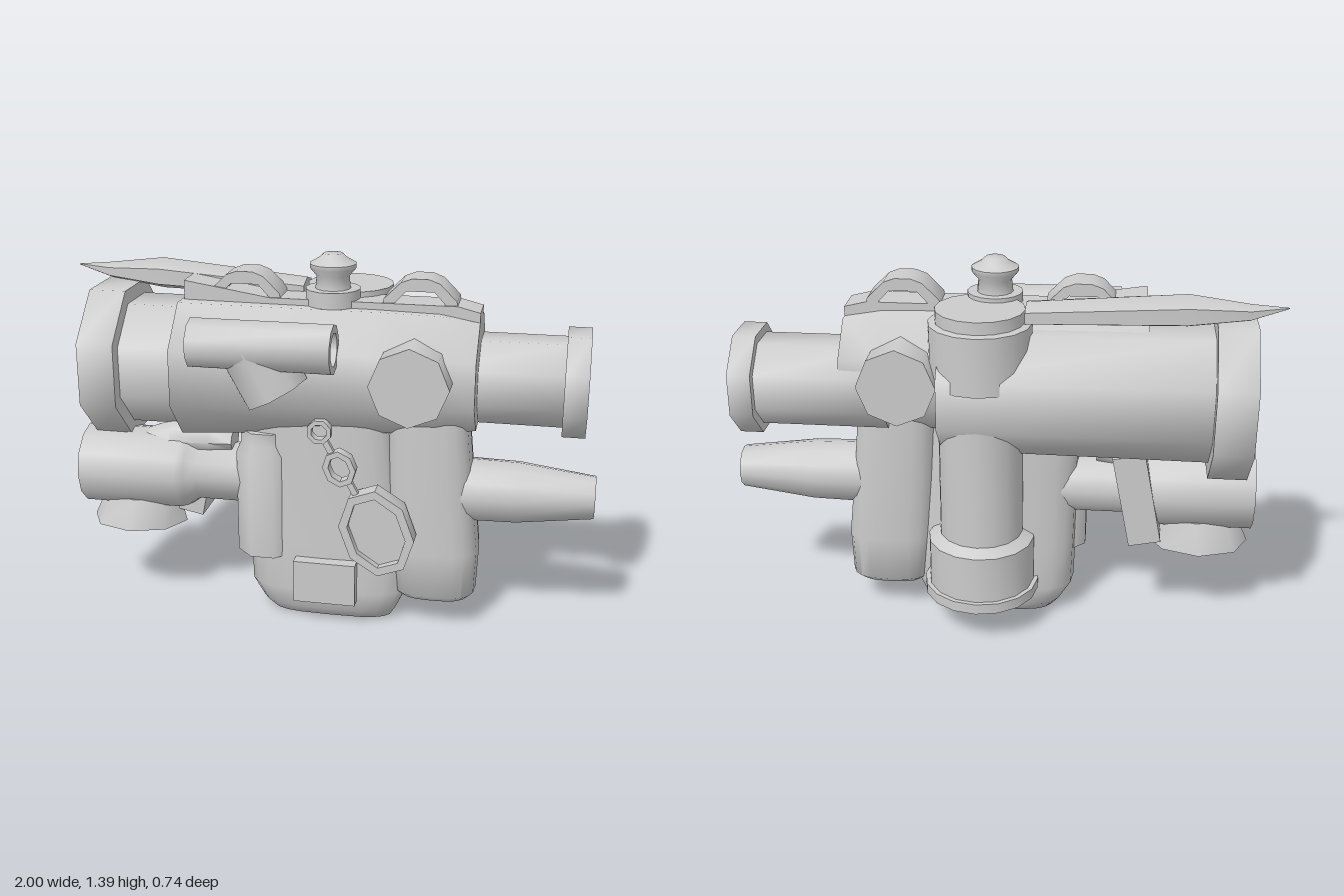
import * as THREE from 'three';
import { toCreasedNormals } from 'three/addons/utils/BufferGeometryUtils.js';

const K = 1 / Math.cos(Math.PI / 8); // octagon corner radius per unit of half width

export function createModel() {
  const model = new THREE.Group();
  const mat = new THREE.MeshStandardMaterial({ color: 0xcccccc, side: THREE.DoubleSide });

  function add(name, geo, pos = [0, 0, 0]) {
    const m = new THREE.Mesh(toCreasedNormals(geo, 0.9), mat);
    m.name = name;
    m.position.set(...pos);
    model.add(m);
    return m;
  }

  // Turned part: profile of [radius, distance along axis]
  function turned(name, profile, axis, pos, sides = 16, phase = 0) {
    const g = new THREE.LatheGeometry(profile.map(p => new THREE.Vector2(...p)), sides, phase);
    if (axis === 'x') g.rotateZ(-Math.PI / 2);
    if (axis === 'z') g.rotateX(Math.PI / 2);
    return add(name, g, pos);
  }
  // Octagonal turned part along x with flats on top; radii are half widths
  const octTube = (name, profile, y, z) =>
    turned(name, profile.map(([r, t]) => [r * K, t]), 'x', [0, y, z], 8, Math.PI / 8);

  // Skin over sections [t, centreA, centreB, radiusA, radiusB]; along y: A=x, B=z; along x: A=y, B=z
  function loft(name, axis, sections, n, power = 1, phase = 0, scale = 1) {
    const first = sections[0], last = sections[sections.length - 1];
    const rows = [[...first.slice(0, 3), 0, 0], ...sections, [...last.slice(0, 3), 0, 0]];
    const pos = [], idx = [];
    const soft = v => Math.sign(v) * Math.abs(v) ** power * scale;
    rows.forEach(([t, ca, cb, ra, rb], i) => {
      for (let j = 0; j < n; j++) {
        const a = phase + j / n * Math.PI * 2;
        const u = ca + ra * soft(Math.cos(a)), v = rb * soft(Math.sin(a));
        if (axis === 'y') pos.push(u, t, cb + v);
        else pos.push(t, u, cb - v);
        if (i === rows.length - 1) continue;
        const k = (j + 1) % n, p = i * n, q = p + n;
        idx.push(p + j, q + j, p + k, p + k, q + j, q + k);
      }
    });
    const g = new THREE.BufferGeometry();
    g.setAttribute('position', new THREE.Float32BufferAttribute(pos, 3));
    g.setIndex(idx);
    return add(name, g);
  }

  // Plate with an outline in x and y, centred on z = centre
  function slab(name, pts, centre, depth) {
    const shape = new THREE.Shape(pts.map(p => new THREE.Vector2(...p)));
    add(name, new THREE.ExtrudeGeometry(shape, { depth, bevelEnabled: false }), [0, 0, centre - depth / 2]);
  }

  // Flat elongated ring with eight corners
  function ring(name, x, y, z, rx, ry, width, depth, turn) {
    const oct = (a, b) => Array.from({ length: 8 }, (_, i) => {
      const t = (i + 0.5) * Math.PI / 4;
      return new THREE.Vector2(a * K * Math.cos(t), b * K * Math.sin(t));
    });
    const s = new THREE.Shape(oct(rx, ry));
    s.holes.push(new THREE.Path(oct(rx - width, ry - width)));
    const g = new THREE.ExtrudeGeometry(s, { depth, bevelEnabled: false });
    g.translate(0, 0, -depth / 2);
    add(name, g, [x, y, z]).rotation.z = turn;
  }

  // Long scope: objective bell, tube and eyepiece
  octTube('objectiveScope', [
    [0, -0.8], [0.22, -0.8], [0.235, -0.9], [0.283, -0.9], [0.283, -0.76],
    [0.23, -0.76], [0.225, 0.2], [0, 0.2],
  ], 0.942, -0.09);
  octTube('eyepiece', [
    [0, 0.4], [0.155, 0.4], [0.155, 0.865], [0.187, 0.865], [0.187, 0.95],
    [0.17, 0.95], [0.155, 0.9], [0, 0.9],
  ], 0.938, -0.09);

  // Central housing, tapering to the eyepiece
  loft('housing', 'x', [
    [-0.53, 0.965, 0.02, 0.25, 0.232], [0.2, 0.985, 0.005, 0.225, 0.225],
    [0.42, 0.985, 0, 0.22, 0.222], [0.56, 0.98, -0.02, 0.2, 0.2],
  ], 8, 1, Math.PI / 8, K);
  slab('topRail', [
    [-0.52, 1.1], [-0.52, 1.285], [-0.2, 1.235], [0.48, 1.235], [0.56, 1.215], [0.56, 1.1],
  ], -0.005, 0.13);

  // Arched straps over the rail
  for (const x of [-0.295, 0.345]) {
    slab('archStrap', [
      [x - 0.14, 1.2], [x - 0.13, 1.25], [x - 0.07, 1.31], [x - 0.03, 1.325], [x + 0.03, 1.325],
      [x + 0.07, 1.31], [x + 0.13, 1.25], [x + 0.14, 1.2], [x + 0.105, 1.22],
      [x + 0.05, 1.28], [x - 0.05, 1.28], [x - 0.105, 1.22],
    ], -0.01, 0.125);
  }

  // Small knob on top, set in a collar
  turned('topKnob', [
    [0, 1.15], [0.1, 1.15], [0.1, 1.27], [0.065, 1.27], [0.06, 1.315], [0.085, 1.345],
    [0.085, 1.36], [0.05, 1.38], [0.035, 1.395], [0, 1.395],
  ], 'y', [0.022, 0, 0]);

  // Pointed blade over the scope
  loft('blade', 'x', [
    [-1, 1.283, -0.14, 0.002, 0.002], [-0.87, 1.266, -0.145, 0.03, 0.045],
    [-0.66, 1.265, -0.14, 0.058, 0.09], [-0.1, 1.235, -0.13, 0.04, 0.08],
  ], 6);

  // Cross knobs and side tube with its tilted bracket
  turned('crossKnob', [[0, -0.3], [0.142, -0.3], [0.142, 0.3], [0, 0.3]], 'z', [0.342, 0.998, 0], 8);
  turned('sideTube', [
    [0, -0.43], [0.09, -0.43], [0.09, 0.08], [0.06, 0.08], [0.06, -0.08], [0, -0.08],
  ], 'x', [0, 1.118, 0.283], 10, Math.PI / 10);
  add('sideBracket', new THREE.CylinderGeometry(0.125, 0.125, 0.2, 8), [-0.18, 1.027, 0.245]).rotation.z = 0.5;

  // Upright canister at the back
  turned('rearCanister', [
    [0, 0.14], [0.215, 0.14], [0.215, 0.18], [0.198, 0.18], [0.198, 0.36], [0.155, 0.385], [0.155, 0.98],
    [0.185, 0.99], [0.185, 1.205], [0.16, 1.21], [0.16, 1.255], [0, 1.255],
  ], 'y', [0.06, 0, -0.155]);

  // Main flask and the smaller flask beside it
  loft('mainFlask', 'y', [
    [0, 0.03, 0, 0.235, 0.1], [0.045, 0.025, 0, 0.265, 0.14], [0.12, 0.02, 0, 0.305, 0.148],
    [0.3, 0.01, 0, 0.3, 0.143], [0.6, -0.01, 0, 0.285, 0.14], [0.82, -0.03, 0, 0.28, 0.14],
  ], 20, 0.6);
  loft('sideFlask', 'y', [
    [0.105, 0.425, 0, 0.13, 0.11], [0.13, 0.425, 0, 0.155, 0.137], [0.3, 0.42, 0, 0.167, 0.14],
    [0.55, 0.4, 0, 0.16, 0.14], [0.82, 0.385, 0, 0.148, 0.138],
  ], 20, 0.65);
  add('buckleBand', new THREE.BoxGeometry(0.235, 0.165, 0.38), [0.025, 0.175, 0]);
  turned('sideCanister', [
    [0, 0.25], [0.118, 0.25], [0.118, 0.65], [0.1, 0.69], [0.1, 0.74], [0, 0.74],
  ], 'y', [-0.218, 0, 0.055], 8, Math.PI / 8);

  // Nozzle on one side, horn with a flared foot on the other
  turned('nozzle', [
    [0, 0.4], [0.122, 0.4], [0.115, 0.72], [0.08, 1], [0.06, 1], [0.06, 0.88], [0, 0.88],
  ], 'x', [0, 0.53, 0], 12);
  turned('horn', [
    [0, -0.7], [0.115, -0.7], [0.12, -0.945], [0.155, -0.945], [0.155, -0.56], [0.145, -0.53],
    [0.115, -0.49], [0.115, -0.2], [0, -0.2],
  ], 'x', [0, 0.53, 0], 12);
  loft('hornFoot', 'y', [[0.305, -0.753, 0, 0.19, 0.15], [0.42, -0.74, 0, 0.15, 0.11]], 8);
  loft('hornLatch', 'x', [
    [-0.74, 0.65, 0, 0.02, 0.04], [-0.6, 0.66, 0, 0.065, 0.08], [-0.45, 0.66, 0, 0.065, 0.07],
    [-0.36, 0.66, 0, 0.04, 0.06],
  ], 8);
  add('hornClamp', new THREE.BoxGeometry(0.12, 0.36, 0.18), [-0.515, 0.53, -0.07]).rotation.z = -0.2;

  // Chain with tag
  ring('chainRing', 0.01, 0.785, 0.19, 0.043, 0.043, 0.016, 0.035, 0);
  ring('chainRing', 0.085, 0.65, 0.19, 0.055, 0.065, 0.02, 0.045, 0.4);
  for (const [x, y] of [[0.042, 0.728], [0.13, 0.577]]) {
    add('chainLink', new THREE.BoxGeometry(0.022, 0.06, 0.02), [x, y, 0.19]).rotation.z = 0.5;
  }
  ring('tagFrame', 0.225, 0.41, 0.185, 0.125, 0.16, 0.03, 0.07, 0.35);
  add('tagPanel', new THREE.CylinderGeometry(0.11 * K, 0.11 * K, 0.03, 8, 1, false, Math.PI / 8)
    .rotateX(Math.PI / 2).scale(1, 1.25, 1), [0.225, 0.41, 0.175]).rotation.z = 0.35;

  return model;
}
